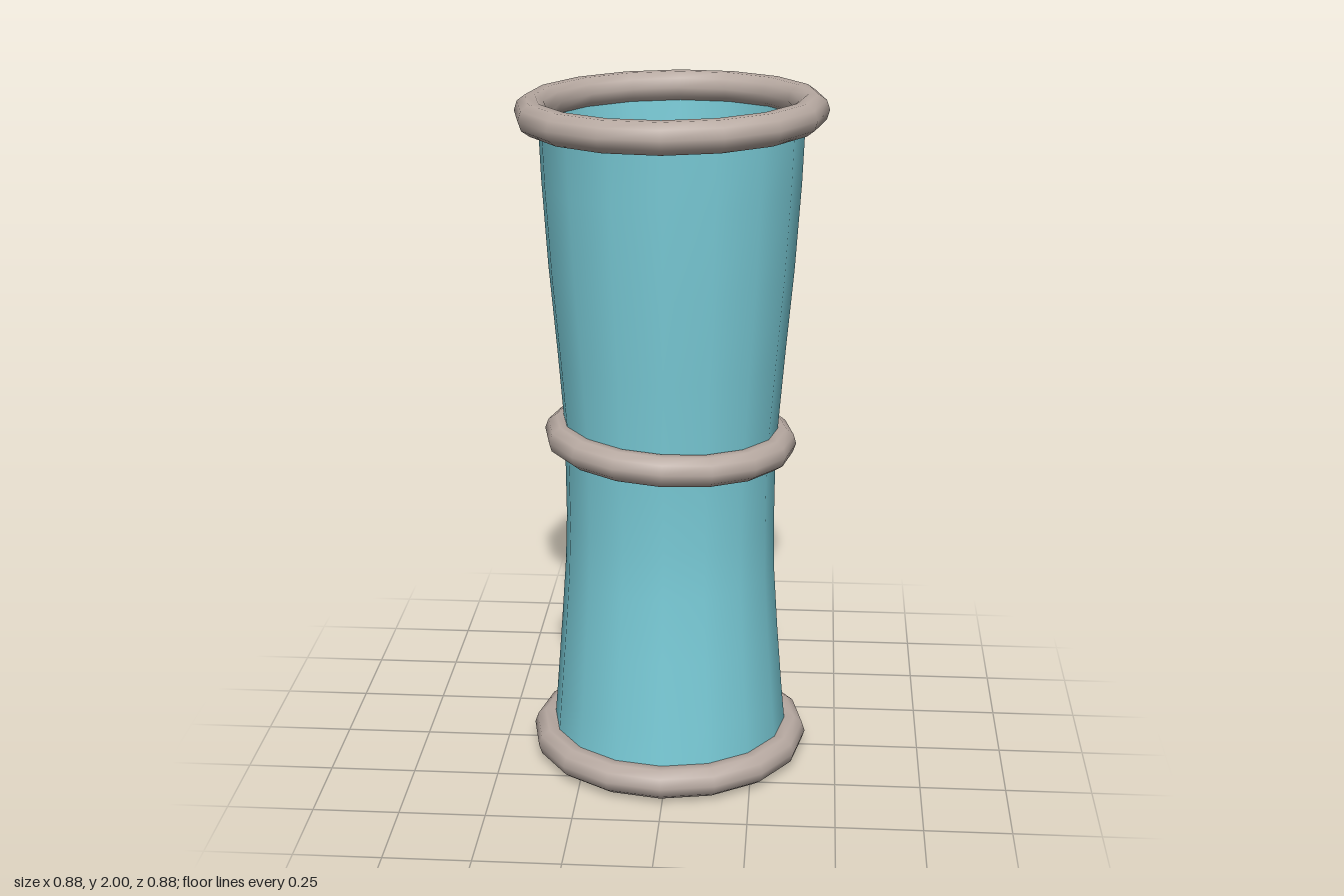
import * as THREE from 'three';
import { mergeVertices } from 'three/addons/utils/BufferGeometryUtils.js';

const SIDES = 16;

// Cross-sections of the sleeve, top to bottom: height, x radius, z radius, x centre, z centre
const SECTIONS = [
  [1.955, 0.374, 0.376, 0, 0],
  [1.75, 0.366, 0.364, 0, 0.002],
  [1.5, 0.35, 0.348, 0, 0.005],
  [1.25, 0.328, 0.324, 0, 0.009],
  [1.05, 0.312, 0.304, 0, 0.015],
  [0.92, 0.307, 0.292, -0.002, 0.018],
  [0.75, 0.306, 0.287, -0.002, 0.017],
  [0.6, 0.31, 0.297, -0.004, 0.01],
  [0.4, 0.324, 0.317, -0.005, 0.006],
  [0.2, 0.34, 0.338, -0.005, 0.004],
  [0.053, 0.353, 0.353, -0.004, 0.003],
];

// Open, waisted cloth sleeve: each row of a unit cylinder is fitted to its section
function sleeveGeometry() {
  const rows = SECTIONS.length - 1;
  let geo = new THREE.CylinderGeometry(1, 1, 1, SIDES, rows, true);
  const pos = geo.attributes.position;
  for (let i = 0; i < pos.count; i++) {
    const [y, rx, rz, cx, cz] = SECTIONS[Math.round((0.5 - pos.getY(i)) * rows)];
    pos.setXYZ(i, cx + pos.getX(i) * rx, y, cz + pos.getZ(i) * rz);
  }
  // Weld the seam so the shading runs smoothly round
  geo.deleteAttribute('uv');
  geo.deleteAttribute('normal');
  geo = mergeVertices(geo, 1e-4);
  geo.computeVertexNormals();
  return geo;
}

export function createModel() {
  const model = new THREE.Group();
  model.name = 'ringedTube';

  const cloth = new THREE.MeshStandardMaterial({ color: 0x7accd8, side: THREE.DoubleSide });
  const ringMaterial = new THREE.MeshStandardMaterial({ color: 0xb8aaa2 });

  const sleeve = new THREE.Mesh(sleeveGeometry(), cloth);
  sleeve.name = 'sleeve';
  model.add(sleeve);

  // Round hoops, each slightly tilted
  function addRing(name, radius, thickness, [x, y, z], tiltX, tiltZ) {
    const geo = new THREE.TorusGeometry(radius, thickness, 10, SIDES);
    geo.rotateX(-Math.PI / 2);
    const ring = new THREE.Mesh(geo, ringMaterial);
    ring.name = name;
    ring.position.set(x, y, z);
    ring.rotation.set(tiltX, 0, tiltZ);
    model.add(ring);
  }
  addRing('topRing', 0.393, 0.046, [0, 1.95, 0], 0, 0.014);
  addRing('middleRing', 0.321, 0.045, [-0.001, 1.002, 0.019], -0.025, -0.045);
  addRing('bottomRing', 0.366, 0.047, [-0.005, 0.053, 0.003], -0.012, -0.002);

  return model;
}
